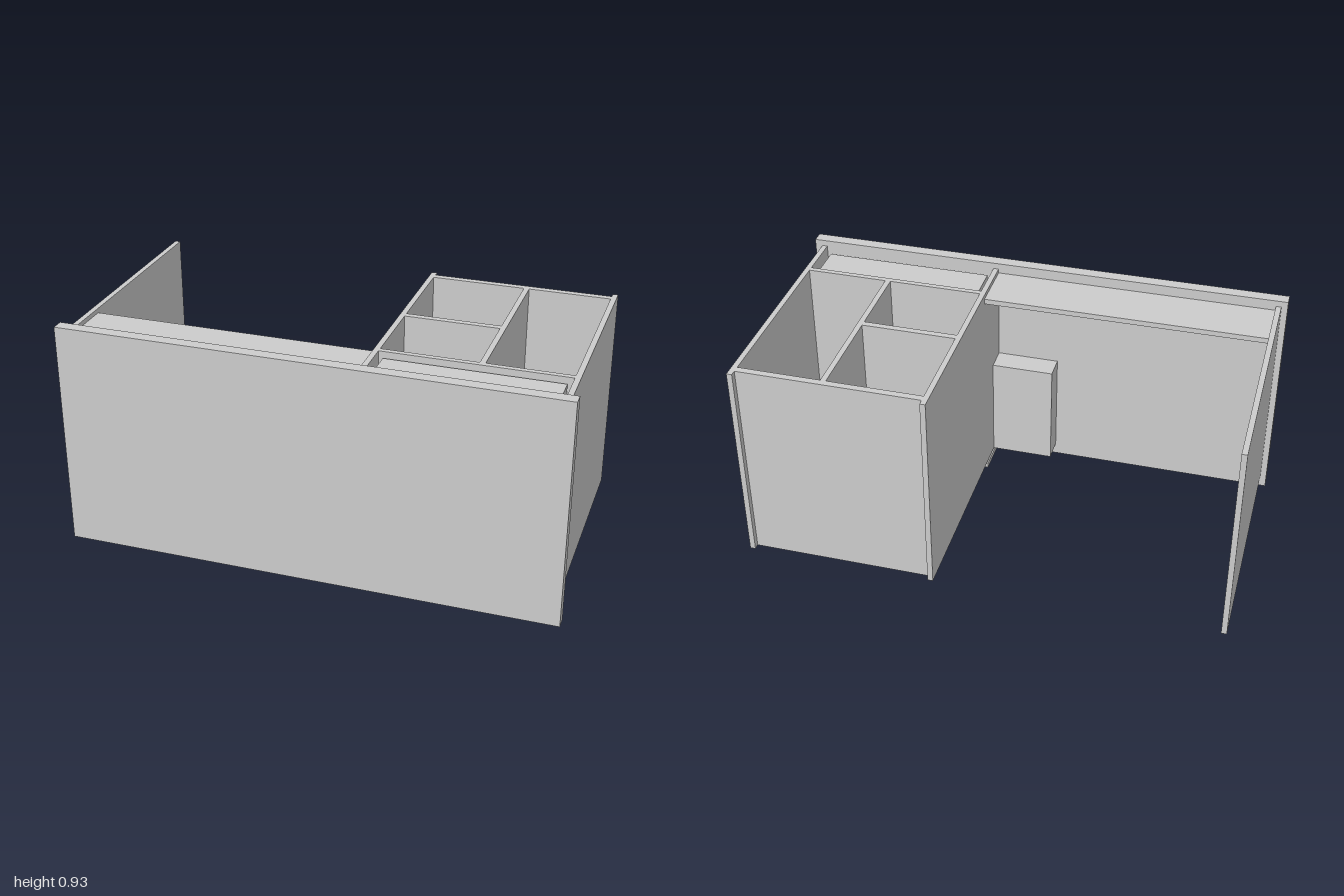
import * as THREE from 'three';

const material = new THREE.MeshStandardMaterial({ color: 0xcccccc });

export function createModel() {
  const desk = new THREE.Group();
  desk.name = 'receptionDesk';

  // Box given by its limits along each axis
  const panel = (name, [x0, x1], [y0, y1], [z0, z1]) => {
    const mesh = new THREE.Mesh(new THREE.BoxGeometry(x1 - x0, y1 - y0, z1 - z0), material);
    mesh.position.set((x0 + x1) / 2, (y0 + y1) / 2, (z0 + z1) / 2);
    mesh.name = name;
    desk.add(mesh);
  };

  const height = [0.05, 0.905];
  const depth = [-0.527, 0.477];

  // Broad front panel and the three upright side panels
  panel('frontPanel', [-1, 1], [0, 0.93], [0.477, 0.527]);
  panel('rightSidePanel', [-0.975, -0.953], height, depth);
  panel('middleSidePanel', [0.193, 0.215], height, depth);
  panel('leftSidePanel', [0.948, 0.97], height, depth);

  // Cabinet back and inner dividers
  panel('cabinetBack', [0.215, 0.948], height, [-0.503, -0.475]);
  panel('frontDivider', [0.215, 0.948], height, [0.268, 0.29]);
  panel('longDivider', [0.595, 0.617], height, [-0.475, 0.268]);
  panel('crossDivider', [0.215, 0.595], height, [-0.077, -0.051]);
  panel('innerShelf', [0.215, 0.595], [0.46, 0.48], [-0.051, 0.268]);

  // Enclosed box on its base plate, behind the front panel
  panel('basePlate', [0.19, 0.97], [0.02, 0.043], [0.27, 0.473]);
  panel('enclosedBox', [0.235, 0.925], [0.043, 0.882], [0.3, 0.455]);

  // Narrow ledge over the knee space
  panel('kneeSpaceLedge', [-0.953, 0.193], [0.865, 0.887], [0.26, 0.477]);

  // Hollow duct in the corner of the knee space, open below
  panel('ductBack', [-0.065, 0.193], [0.05, 0.47], [0.377, 0.397]);
  panel('ductEnd', [-0.065, -0.045], [0.05, 0.47], [0.397, 0.477]);
  panel('ductTop', [-0.065, 0.193], [0.47, 0.49], [0.377, 0.477]);

  return desk;
}
